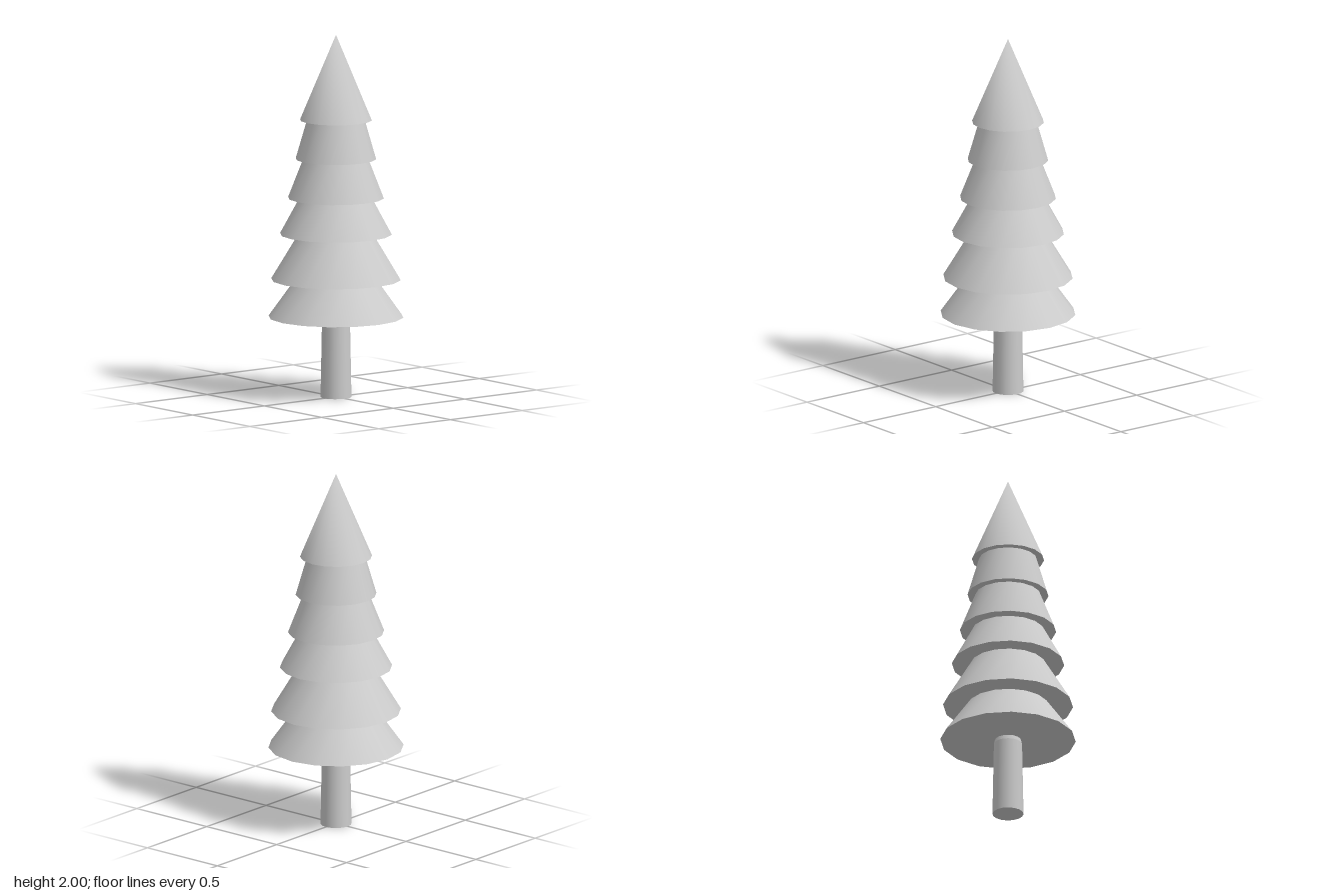
import * as THREE from 'three';

const SIDES = 16;

export function createModel() {
  const tree = new THREE.Group();
  tree.name = 'pineTree';
  const grey = new THREE.MeshStandardMaterial({ color: 0xcccccc });
  grey.name = 'light grey';

  // Tapered round part standing on y = bottom
  function addFrustum(name, bottom, top, rBottom, rTop) {
    const geometry = new THREE.CylinderGeometry(rTop, rBottom, top - bottom, SIDES);
    geometry.translate(0, (bottom + top) / 2, 0);
    const mesh = new THREE.Mesh(geometry, grey);
    mesh.name = name;
    tree.add(mesh);
    return mesh;
  }

  // Trunk, narrowing slightly where it meets the branches
  addFrustum('trunk', 0, 0.42, 0.085, 0.077);
  addFrustum('trunkTop', 0.42, 0.45, 0.077, 0.07);

  // Branch tiers: [bottom, top, bottom radius, top radius]
  const tiers = [
    [0.443, 0.652, 0.37, 0.22],
    [0.65, 0.902, 0.355, 0.203],
    [0.9, 1.102, 0.307, 0.197],
    [1.1, 1.317, 0.263, 0.178],
    [1.315, 1.532, 0.221, 0.158],
  ];
  tiers.forEach((tier, i) => addFrustum(`branchTier${i + 1}`, ...tier));

  // Pointed crown with a softly shaded tip
  const crown = addFrustum('crown', 1.53, 2, 0.197, 0);
  const { position, normal } = crown.geometry.attributes;
  for (let i = 0; i < position.count; i++) {
    if (position.getY(i) > 1.99) normal.setXYZ(i, 0, 1, 0);
  }

  return tree;
}
